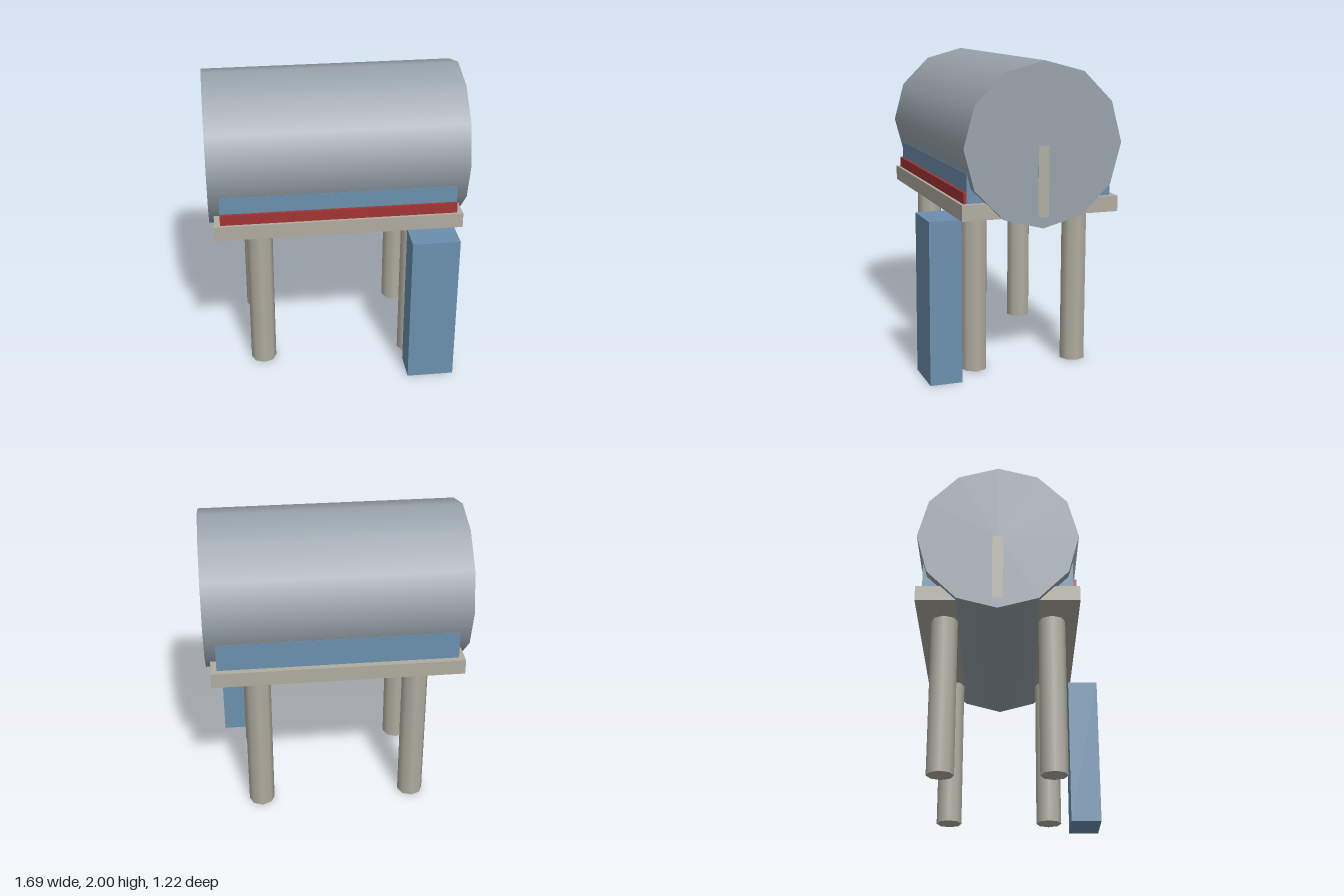
import * as THREE from 'three';

const material = (name, color) => {
  const m = new THREE.MeshStandardMaterial({ color });
  m.name = name;
  return m;
};

export function createModel() {
  const model = new THREE.Group();
  model.name = 'raisedTank';

  const steel = material('steel grey', 0x98a2aa);
  const blue = material('muted blue', 0x6b8fae);
  const concrete = material('warm concrete', 0xb0aca0);
  const red = material('dark red', 0xa33434);

  const add = (name, geometry, mat, x, y, z) => {
    const mesh = new THREE.Mesh(geometry, mat);
    mesh.name = name;
    mesh.position.set(x, y, z);
    model.add(mesh);
    return mesh;
  };
  // Box given by its limits on each axis
  const addBox = (name, mat, [x0, x1], [y0, y1], [z0, z1]) =>
    add(name, new THREE.BoxGeometry(x1 - x0, y1 - y0, z1 - z0), mat,
      (x0 + x1) / 2, (y0 + y1) / 2, (z0 + z1) / 2);

  const centreZ = -0.095;
  const deckBottom = 1.04;
  const deckTop = 1.14;

  // Horizontal twelve-sided drum with smooth flanks
  const drum = new THREE.CylinderGeometry(0.515, 0.515, 1.69, 12);
  drum.rotateZ(Math.PI / 2);
  add('drum', drum, steel, 0, 1.485, centreZ);

  // Upright strips on both drum ends
  for (const side of [-1, 1]) {
    add('endStrip', new THREE.BoxGeometry(0.008, 0.445, 0.07), concrete,
      side * 0.843, 1.2625, centreZ);
  }

  // Deck, wall cradling the drum, and red band along the front
  addBox('deck', concrete, [-0.813, 0.813], [deckBottom, deckTop], [-0.61, 0.42]);
  addBox('wall', blue, [-0.775, 0.775], [deckTop, 1.325], [-0.57, 0.38]);
  addBox('frontBand', red, [-0.775, 0.775], [deckTop, 1.21], [0.38, 0.4]);

  // Four round legs
  for (const x of [-0.518, 0.518]) {
    for (const z of [0.252, -0.44]) {
      add('leg', new THREE.CylinderGeometry(0.086, 0.086, deckBottom, 8), concrete,
        x, deckBottom / 2, z);
    }
  }

  // Square tower standing in front of the deck
  addBox('frontTower', blue, [0.445, 0.757], [0, deckBottom], [0.405, 0.612]);

  return model;
}
